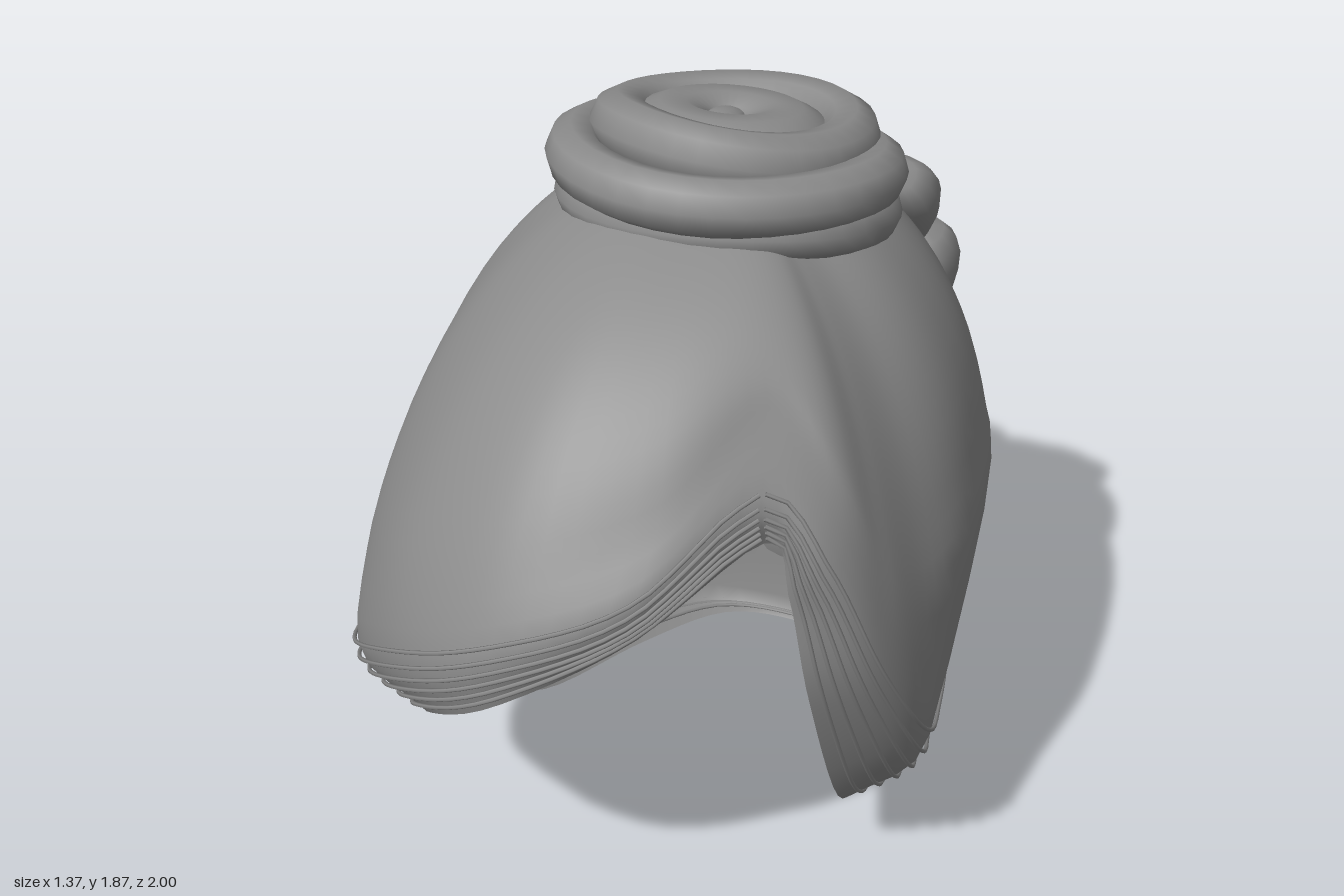
import * as THREE from 'three';

const V = (a) => new THREE.Vector3(...a);
const CROWN = new THREE.Vector3(0, 1.7, -0.05);

// Cap guides around the head: widest point, rolled edge, inner lip
const mirror = (g) => g.map(([x, y, z]) => [-x, y, z]);
const sideGuides = [
  [[-0.66, 0.85, 0.3], [-0.66, 0.5, 0.3], [-0.47, 0.29, 0.3]],
  [[-0.67, 0.85, 0.05], [-0.6, 0.33, 0.05], [-0.43, 0.13, 0.05]],
  [[-0.58, 0.85, -0.35], [-0.48, 0.2, -0.33], [-0.33, 0.07, -0.3]],
  [[-0.36, 0.85, -0.61], [-0.31, 0.14, -0.58], [-0.2, 0.04, -0.55]],
];
const guides = [
  [[0.37, 1.42, 0.52], [0.4, 1.28, 0.62], [0.4, 1.18, 0.6]], // parting
  [[0.23, 1.27, 0.77], [0.22, 1.12, 0.88], [0.2, 1.01, 0.82]],
  [[-0.05, 1.17, 0.91], [-0.06, 1.0, 0.99], [-0.05, 0.87, 0.97]],
  [[-0.34, 1.05, 0.84], [-0.34, 0.84, 0.9], [-0.28, 0.7, 0.86]],
  [[-0.58, 0.88, 0.6], [-0.59, 0.62, 0.64], [-0.43, 0.48, 0.57]],
  ...sideGuides,
  [[0, 0.8, -0.67], [0, 0.12, -0.65], [0, 0.03, -0.61]], // nape
  ...sideGuides.map(mirror).reverse(),
  [[0.62, 1.0, 0.44], [0.62, 0.83, 0.51], [0.48, 0.75, 0.53]],
  [[0.53, 1.25, 0.5], [0.53, 1.12, 0.59], [0.45, 1.04, 0.58]],
];
const rails = [0, 1, 2].map((i) =>
  new THREE.CatmullRomCurve3(guides.map((g) => V(g[i])), true, 'catmullrom', 0.5));

// One strand path from the crown, over the widest point, to the lip
function column(u) {
  const [m, b, l] = rails.map((r) => r.getPoint(u));
  // The front slopes on past the widest point, the back drops upright
  const sweep = (Math.PI / 2) * (1 - 0.4 * Math.max(0, m.z));
  const pts = [];
  for (let i = 0; i < 6; i++) {
    const a = (i / 6) * sweep;
    const out = Math.pow(Math.sin(a) / Math.sin(sweep), 0.92);
    const down = (1 - Math.cos(a)) / (1 - Math.cos(sweep));
    pts.push(new THREE.Vector3(
      CROWN.x + (m.x - CROWN.x) * out,
      CROWN.y + (m.y - CROWN.y) * down,
      CROWN.z + (m.z - CROWN.z) * out));
  }
  return new THREE.CatmullRomCurve3([...pts, m, b, l], false, 'catmullrom', 0.5);
}

function capGeometry(nu = 84, nv = 28) {
  const pos = [], index = [];
  for (let i = 0; i < nu; i++) {
    const c = column(i / nu);
    for (let j = 0; j <= nv; j++) pos.push(...c.getPoint(j / nv).toArray());
  }
  for (let i = 0; i < nu; i++) {
    for (let j = 0; j < nv; j++) {
      const a = i * (nv + 1) + j, b = ((i + 1) % nu) * (nv + 1) + j;
      index.push(a, b, a + 1, b, b + 1, a + 1);
    }
  }
  const g = new THREE.BufferGeometry();
  g.setAttribute('position', new THREE.Float32BufferAttribute(pos, 3));
  g.setIndex(index);
  g.computeVertexNormals();
  return g;
}

// Braid lobe: a full, slightly boxy drop, narrower at its lower end
function lobeGeometry() {
  const g = new THREE.SphereGeometry(1, 14, 10);
  const p = g.attributes.position;
  const full = (v) => Math.sign(v) * Math.pow(Math.abs(v), 0.65);
  for (let i = 0; i < p.count; i++) {
    const y = p.getY(i), k = 0.86 + 0.14 * y;
    p.setXYZ(i, full(p.getX(i)) * k, y, full(p.getZ(i)) * k);
  }
  g.computeVertexNormals();
  return g;
}

export function createModel() {
  const hair = new THREE.MeshStandardMaterial({ color: 0x8c8c8c, side: THREE.DoubleSide });
  hair.name = 'hair grey';
  const model = new THREE.Group();
  model.name = 'hairstyle';
  const add = (parent, geo, name) => {
    const m = new THREE.Mesh(geo, hair);
    m.name = name;
    parent.add(m);
    return m;
  };

  add(model, capGeometry(), 'hairCap');

  // Fine strands following the rolled edge, split at the parting
  const strands = new THREE.Group();
  strands.name = 'edgeStrands';
  model.add(strands);
  [0.85, 0.875, 0.9, 0.925, 0.95, 0.975].forEach((v) => {
    const pts = [];
    for (let i = 0; i <= 56; i++) {
      const p = column(0.002 + 0.996 * i / 56).getPoint(v);
      pts.push(p.set(p.x * 1.008, p.y, p.z * 1.008));
    }
    add(strands, new THREE.TubeGeometry(new THREE.CatmullRomCurve3(pts), 110, 0.005, 5), 'strand');
  });

  // Bun: uneven stacked rolls around a dished centre, tipped towards the back
  const bun = new THREE.Group();
  bun.name = 'bun';
  bun.position.set(0.02, 1.68, -0.03);
  bun.rotation.x = -0.17;
  model.add(bun);
  const roll = (r, y, z, tube, phase, name) => {
    const pts = [];
    for (let i = 0; i < 18; i++) {
      const a = (i / 18) * Math.PI * 2;
      const w = r + 0.006 * Math.sin(3 * a + phase);
      pts.push(new THREE.Vector3(w * Math.cos(a), y + 0.01 * Math.sin(2 * a + phase), z + w * Math.sin(a)));
    }
    const path = new THREE.CatmullRomCurve3(pts, true);
    add(bun, new THREE.TubeGeometry(path, 36, tube, 9, true), name);
  };
  roll(0.33, -0.07, -0.06, 0.06, 0, 'baseRoll');
  roll(0.335, 0.015, -0.01, 0.065, 2, 'middleRoll');
  roll(0.255, 0.075, -0.05, 0.07, 4, 'topRoll');
  add(bun, new THREE.SphereGeometry(1, 24, 10), 'bunCore').scale.set(0.32, 0.08, 0.32);
  const dish = add(bun, new THREE.TorusGeometry(0.13, 0.1, 10, 28), 'innerRoll');
  dish.rotation.x = Math.PI / 2;
  dish.scale.z = 0.6;
  dish.position.set(-0.02, 0.07, -0.07);
  const knot = add(bun, new THREE.SphereGeometry(1, 12, 8), 'bunCentre');
  knot.scale.set(0.05, 0.03, 0.08);
  knot.position.set(-0.04, 0.08, -0.08);

  // Braid lobes down the back: x, y, z, backward pitch, half width, height, depth
  const braid = new THREE.Group();
  braid.name = 'braid';
  model.add(braid);
  const lobe = lobeGeometry();
  [
    [-0.06, 1.48, -0.51, 0.9, 0.14, 0.15, 0.09],
    [0.2, 1.39, -0.58, 0.75, 0.16, 0.23, 0.09],
    [-0.1, 1.26, -0.7, 0.5, 0.17, 0.21, 0.11],
    [0.19, 1.08, -0.75, 0.2, 0.16, 0.22, 0.125],
    [-0.09, 0.94, -0.755, 0.05, 0.16, 0.22, 0.13],
    [0.19, 0.75, -0.75, 0, 0.135, 0.22, 0.135],
    [-0.08, 0.57, -0.75, 0, 0.135, 0.24, 0.135],
    [0.15, 0.33, -0.76, 0.12, 0.13, 0.23, 0.14],
    [-0.07, 0.22, -0.77, 0.2, 0.12, 0.2, 0.14],
    [0.09, 0.13, -0.88, 0.35, 0.11, 0.13, 0.13],
  ].forEach(([x, y, z, pitch, w, h, d]) => {
    const m = add(braid, lobe, 'braidLobe');
    m.position.set(x, y, z);
    m.rotation.set(pitch, 0, x > 0.05 ? -0.25 : 0.25);
    m.scale.set(w, h, d);
  });
  return model;
}
